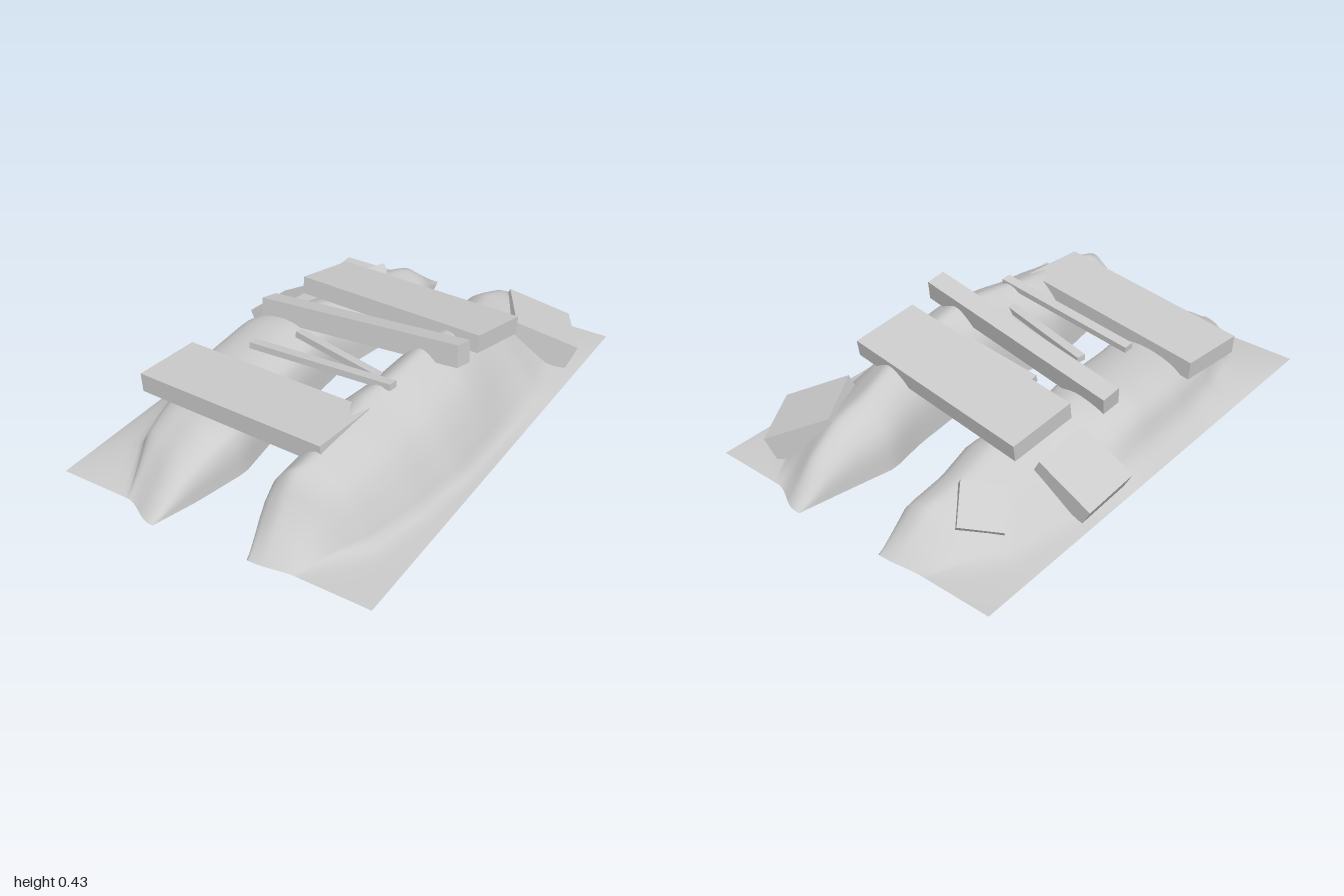
import * as THREE from 'three';

const material = new THREE.MeshStandardMaterial({ color: 0xcccccc, side: THREE.DoubleSide });
const BASE = 0.02;
const OUTER = 0.645;
const { lerp, clamp, smoothstep } = THREE.MathUtils;

// The mounds draw in toward the gully at both ends
const MOUND_WIDTH = [[-1, 0.5], [-0.75, 0.87], [-0.4, 1], [0.25, 1], [0.5, 0.94], [0.75, 0.8], [1, 0.45]];

// Linear lookup in a list of [key, value] pairs
function sample(table, t) {
  for (let i = 1; i < table.length; i++) {
    const [a, va] = table[i - 1];
    const [b, vb] = table[i];
    if (t <= b) return lerp(va, vb, clamp((t - a) / (b - a), 0, 1));
  }
  return table[table.length - 1][1];
}

// Cross-section from [fraction outward, fraction of height], smoothed into even points
function section(points, count) {
  const curve = new THREE.CatmullRomCurve3(points.map(([f, h]) => new THREE.Vector3(f, h, 0)), false, 'centripetal');
  return curve.getPoints(count);
}

// Earth bank: cross-sections swept along z between the gully edge and the outer edge
function bank(name, side, { front, back, inner, crest, ends }) {
  const cols = 36, rows = 48;
  const frontSection = section(front, cols);
  const backSection = section(back, cols);
  const geometry = new THREE.PlaneGeometry(1, 1, cols, rows);
  const position = geometry.attributes.position;
  for (let r = 0; r <= rows; r++) {
    const t = -1 + (2 * r) / rows;
    const blend = smoothstep(t, -0.45, 0.05);
    for (let c = 0; c <= cols; c++) {
      const p = backSection[side > 0 ? c : cols - c].clone().lerp(frontSection[side > 0 ? c : cols - c], blend);
      const f = lerp(p.x * sample(MOUND_WIDTH, t), p.x, smoothstep(p.x, 0.85, 1));
      const x = lerp(sample(inner, t), OUTER, f);
      const reach = lerp(ends[t < 0 ? 0 : 1], ends[t < 0 ? 2 : 3], smoothstep(x, 0.2, 0.36));
      const y = BASE + Math.max(0, p.y) * sample(crest, t);
      position.setXYZ(r * (cols + 1) + c, side * x, y, t * reach);
    }
  }
  geometry.computeVertexNormals();
  const mesh = new THREE.Mesh(geometry, material);
  mesh.name = name;
  return mesh;
}

// Tilted block: centre of its top face, long edge, direction of the other edge, width, thickness
function block(name, top, along, across, width, thickness) {
  const u = new THREE.Vector3(...along);
  const length = u.length();
  u.normalize();
  const n = new THREE.Vector3(...across).cross(u).normalize();
  const v = new THREE.Vector3().crossVectors(u, n);
  const mesh = new THREE.Mesh(new THREE.BoxGeometry(length, thickness, width), material);
  mesh.quaternion.setFromRotationMatrix(new THREE.Matrix4().makeBasis(u, n, v));
  mesh.position.set(...top).addScaledVector(n, -thickness / 2);
  mesh.name = name;
  return mesh;
}

export function createModel() {
  const group = new THREE.Group();
  group.name = 'plankCrossing';

  // Banks on both sides of the gully
  const back = [[0, 0], [0.02, 0.45], [0.07, 0.7], [0.16, 0.89], [0.29, 1], [0.42, 0.89], [0.58, 0.66], [0.74, 0.36], [0.9, 0.07], [1, 0]];
  group.add(bank('leftBank', 1, {
    back,
    front: [[0, 0], [0.02, 0.45], [0.06, 0.68], [0.15, 0.86], [0.29, 1], [0.43, 0.92], [0.6, 0.75], [0.71, 0.54], [0.81, 0.26], [0.9, 0.02], [1, 0]],
    inner: [[-1, 0.18], [-0.8, 0.14], [-0.61, 0.1], [-0.45, 0.13], [-0.1, 0.16], [0.2, 0.13], [0.35, 0.095], [0.6, 0.13], [0.85, 0.13], [1, 0.18]],
    crest: [[-1, 0], [-0.87, 0.13], [-0.75, 0.2], [-0.65, 0.235], [-0.42, 0.285], [0, 0.35], [0.4, 0.31], [0.79, 0.26], [0.88, 0.13], [1, 0]],
    ends: [1, 0.97, 0.94, 0.95],
  }));
  group.add(bank('rightBank', -1, {
    back,
    front: [[0, 0], [0.03, 0.6], [0.1, 0.85], [0.25, 0.97], [0.4, 1], [0.6, 0.93], [0.75, 0.75], [0.86, 0.28], [1, 0]],
    inner: [[-1, 0.18], [-0.82, 0.13], [-0.65, 0.13], [-0.48, 0.1], [-0.15, 0.16], [0.25, 0.14], [0.6, 0.095], [0.82, 0.14], [1, 0.19]],
    crest: [[-1, 0], [-0.83, 0.13], [-0.5, 0.2], [0, 0.245], [0.4, 0.22], [0.65, 0.19], [0.83, 0.12], [1, 0]],
    ends: [0.975, 1, 0.96, 0.935],
  }));

  // Wide planks, beam and thin slats across the gully
  group.add(
    block('frontPlank', [-0.135, 0.295, 0.49], [0.835, 0.053, 0.08], [-0.1, 0, 1], 0.27, 0.075),
    block('backPlank', [0.03, 0.327, -0.33], [0.835, 0.042, 0.09], [-0.1, 0.17, 1], 0.275, 0.07),
    block('beam', [-0.008, 0.364, -0.04], [0.905, 0.12, 0.075], [-0.08, 0.2, 1], 0.08, 0.085),
    block('frontSlat', [-0.005, 0.33, 0.245], [0.63, 0.055, 0.035], [-0.05, 0.1, 1], 0.04, 0.025),
    block('middleSlat', [-0.005, 0.3, 0.12], [0.43, 0.01, 0.11], [-0.25, 0.1, 1], 0.035, 0.025),
    block('backSlat', [0.005, 0.29, -0.135], [0.335, 0.015, 0.025], [-0.08, 0.3, 1], 0.035, 0.03),
  );

  // Loose rocks resting on the outer slopes
  group.add(
    block('largeRock', [0.457, 0.177, -0.693], [0.215, -0.115, -0.128], [0.135, 0.01, 0.245], 0.275, 0.13),
    block('sideRock', [-0.54, 0.162, -0.322], [0.215, 0.115, -0.005], [0, 0.024, 0.24], 0.24, 0.11),
    block('smallRock', [-0.39, 0.153, -0.69], [0.115, 0.035, -0.11], [0.09, 0.095, 0.11], 0.165, 0.09),
  );
  return group;
}
